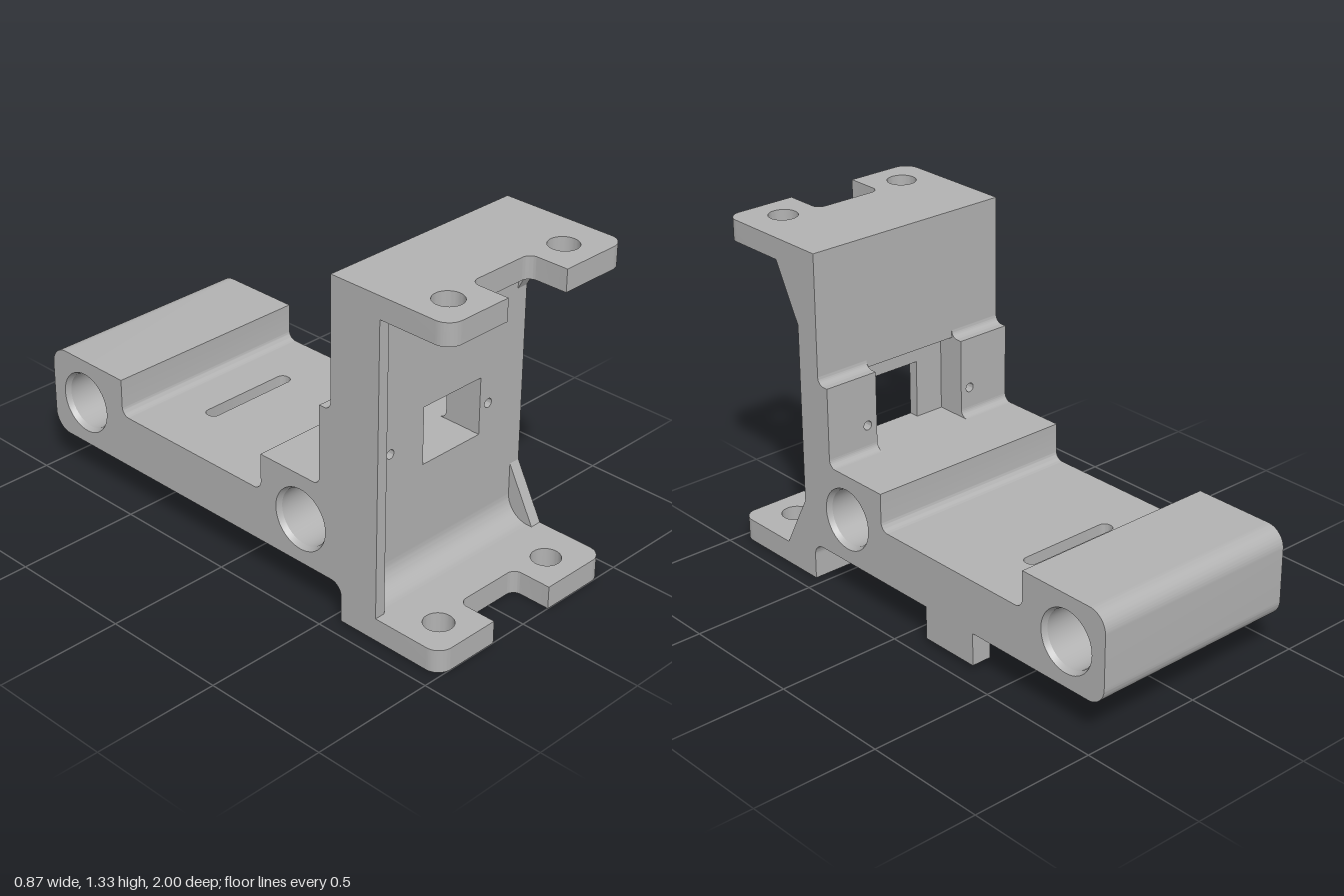
import * as THREE from 'three';
import { toCreasedNormals } from 'three/addons/utils/BufferGeometryUtils.js';

const W = 0.433; // half width of the body

export function createModel() {
  const group = new THREE.Group();
  const grey = new THREE.MeshStandardMaterial({ color: 0xb2b2b2 });

  const add = (name, geometry) => {
    const mesh = new THREE.Mesh(toCreasedNormals(geometry, 0.5), grey);
    mesh.name = name;
    group.add(mesh);
  };
  const extrude = (shape, depth) =>
    new THREE.ExtrudeGeometry(shape, { depth, bevelEnabled: false, curveSegments: 24 });
  // shape drawn in (z, y), spanning x0..x1
  const alongX = (name, shape, x0, x1) =>
    add(name, extrude(shape, x1 - x0).rotateY(-Math.PI / 2).translate(x1, 0, 0));
  // shape drawn in (x, z), spanning y0..y1
  const alongY = (name, shape, y0, y1) =>
    add(name, extrude(shape, y1 - y0).rotateX(Math.PI / 2).translate(0, y1, 0));
  // shape drawn in (x, y), spanning z0..z1
  const alongZ = (name, shape, z0, z1) =>
    add(name, extrude(shape, z1 - z0).translate(0, 0, z0));

  // Polygon whose corners may carry a rounding radius: [a, b, r]
  const outline = (pts) => {
    const shape = new THREE.Shape();
    pts.forEach(([a, b, r = 0], i) => {
      const p = new THREE.Vector2(a, b);
      const prev = new THREE.Vector2(...pts.at(i - 1).slice(0, 2));
      const next = new THREE.Vector2(...pts[(i + 1) % pts.length].slice(0, 2));
      const inDir = prev.sub(p).normalize().multiplyScalar(r);
      const outDir = next.sub(p).normalize().multiplyScalar(r);
      const s = inDir.clone().add(p);
      const e = outDir.clone().add(p);
      if (i === 0) shape.moveTo(s.x, s.y);
      else shape.lineTo(s.x, s.y);
      const k = 0.4477; // quarter-circle handle
      if (r) shape.bezierCurveTo(
        p.x + inDir.x * k, p.y + inDir.y * k, p.x + outDir.x * k, p.y + outDir.y * k, e.x, e.y);
    });
    shape.closePath();
    return shape;
  };
  const rect = (a0, b0, a1, b1, r = 0) =>
    outline([[a0, b0, r], [a1, b0, r], [a1, b1, r], [a0, b1, r]]);
  const drill = (shape, a, b, r) => {
    shape.holes.push(new THREE.Path().absarc(a, b, r, 0, Math.PI * 2, true));
    return shape;
  };
  // Concave fillet in the corner (z, y), reaching dz and dy away from it
  const fillet = (name, z, y, dz, dy, x0, x1) => {
    const s = new THREE.Shape();
    const k = 0.4477;
    s.moveTo(z, y);
    s.lineTo(z + dz, y);
    s.bezierCurveTo(z + dz * k, y, z, y + dy * k, z, y + dy);
    s.closePath();
    alongX(name, s, x0, x1);
  };

  // Mounting flanges with front notch and screw holes
  const flange = (name, back, y0, y1) => {
    const s = outline([
      [-W, back], [W, back], [W, 1, 0.06], [0.133, 1], [0.133, 0.84, 0.035],
      [-0.157, 0.84, 0.035], [-0.157, 1], [-W, 1, 0.06],
    ]);
    drill(s, -0.295, 0.87, 0.056);
    drill(s, 0.271, 0.87, 0.056);
    alongY(name, s, y0, y1);
  };
  flange('bottomFlange', 0.54, 0, 0.09);
  flange('topFlange', 0.485, 1.24, 1.325);

  // Upright wall in two layers: front with window, rear with pocket
  const slab = (name, n0, n1, top, z0, z1) => {
    const s = outline([
      [-W, 0.507], [n0, 0.507], [n0, top], [n1, top], [n1, 0.507],
      [W, 0.507], [W, 1.24], [-W, 1.24],
    ]);
    for (const x of [-0.25, 0.25]) drill(s, x, 0.617, 0.018);
    alongZ(name, s, z0, z1);
  };
  slab('wallFront', -0.085, 0.206, 0.735, 0.55, 0.59);
  slab('wallRear', -0.207, 0.207, 0.82, 0.485, 0.55);

  // Screw bosses on the back of the wall
  for (const side of [-1, 1]) {
    const [x0, x1] = side > 0 ? [0.207, W] : [-W, -0.207];
    alongZ('boss', drill(rect(x0, 0.507, x1, 0.82), side * 0.25, 0.617, 0.018), 0.433, 0.485);
    fillet('bossTopFillet', 0.485, 0.82, -0.03, 0.03, x0, x1);
    fillet('bossFootFillet', 0.433, 0.507, -0.03, 0.03, x0, x1);
  }

  // Front tray: side lips and inner fillets
  alongX('fullLip', rect(0.59, 0.09, 0.705, 1.24), -W, -0.39);
  alongX('lowerLip', outline([[0.59, 0.09], [0.705, 0.09], [0.59, 0.31]]), 0.386, W);
  alongX('upperLip', outline([[0.59, 1.24], [0.705, 1.24], [0.59, 1.02]]), 0.386, W);
  fillet('trayBottomFillet', 0.59, 0.09, 0.095, 0.095, -0.39, 0.386);
  fillet('trayTopFillet', 0.59, 1.24, 0.095, -0.095, -0.39, 0.386);

  // Base: front bearing block, slotted plate, rear bearing block
  const bearings = [[0.34, 0.327], [-0.817, 0.327]];
  const frontBlock = outline([
    [0.59, 0.09], [0.59, 0.507], [0.143, 0.507], [0.143, 0.36, 0.035],
    [0.105, 0.36], [0.105, 0.15], [0.54, 0.15, 0.05], [0.54, 0.09],
  ]);
  alongX('frontBearingBlock', drill(frontBlock, ...bearings[0], 0.122), -W, W);

  const plate = rect(-W, -0.565, W, 0.105);
  plate.holes.push(rect(-0.207, -0.407, 0.207, -0.35, 0.026));
  alongY('slottedPlate', plate, 0.15, 0.36);

  const rearBlock = outline([
    [-0.565, 0.15], [-0.565, 0.36], [-0.602, 0.36, 0.035], [-0.602, 0.507],
    [-1, 0.507, 0.075], [-1, 0.15, 0.075],
  ]);
  alongX('rearBearingBlock', drill(rearBlock, ...bearings[1], 0.122), -W, W);

  // Stepped bearing bores with chamfered mouths
  const half = [[0.122, W], [0.111, W - 0.02], [0.111, W - 0.36], [0.094, W - 0.36]];
  const bore = [...half, ...half.map(([r, x]) => [r, -x]).reverse()]
    .map(([r, x]) => new THREE.Vector2(r, x));
  for (const [z, y] of bearings) {
    add('bearingBore', new THREE.LatheGeometry(bore, 48).rotateZ(-Math.PI / 2).translate(0, y, z));
  }

  // Small stop block under one edge of the base
  alongX('stopBlock', rect(-0.35, 0.02, -0.1, 0.15), 0.352, W);

  return group;
}
